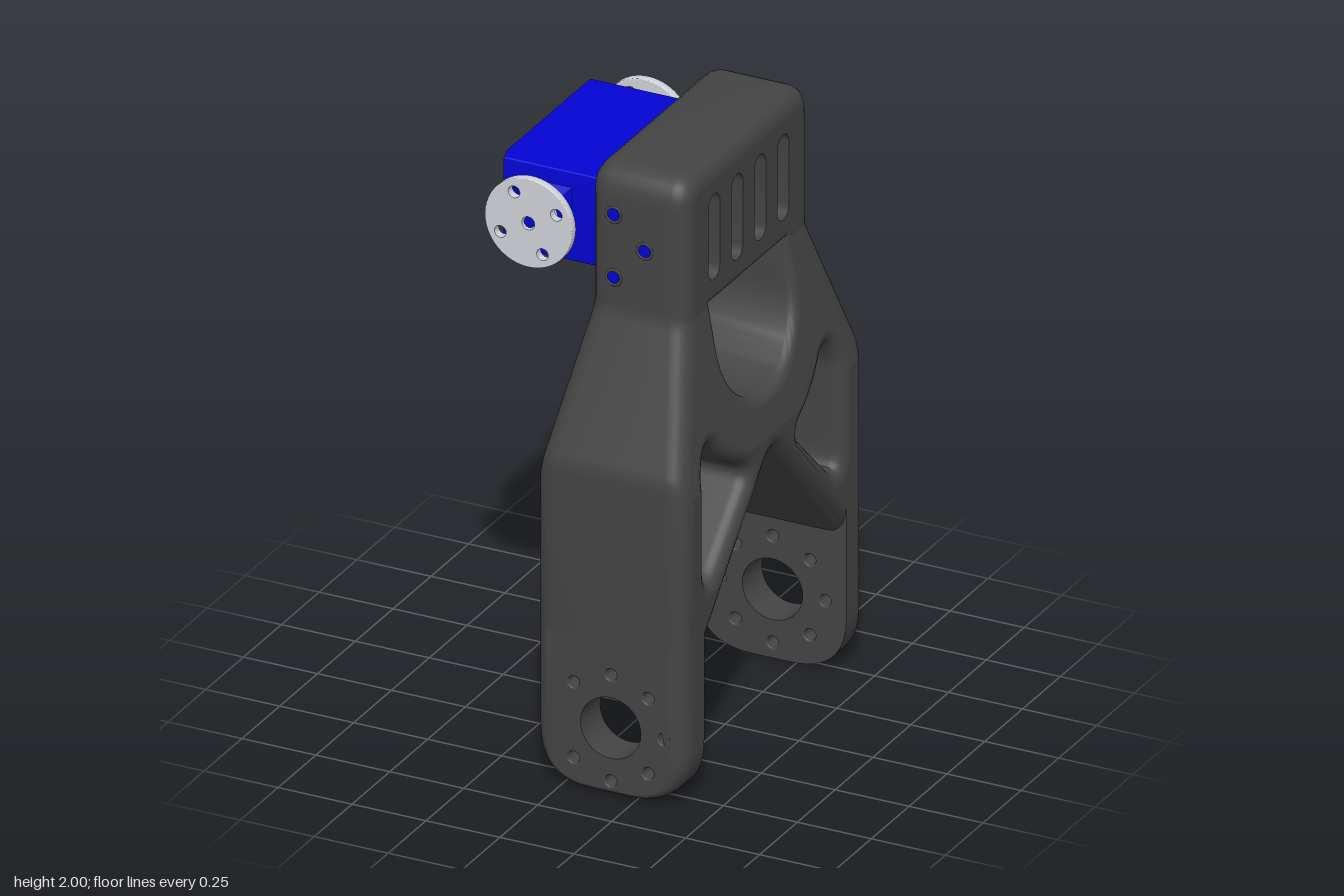
import * as THREE from 'three';
import { mergeGeometries, toCreasedNormals } from 'three/addons/utils/BufferGeometryUtils.js';

const dark = new THREE.MeshStandardMaterial({ color: 0x444444 });
const blue = new THREE.MeshStandardMaterial({ color: 0x0404d4 });
const pale = new THREE.MeshStandardMaterial({ color: 0xd0d2da });

// ---- 2D loops -------------------------------------------------------------
function arc(cx, cy, r, a0, a1, n, closed = false) {
  return Array.from({ length: closed ? n : n + 1 }, (_, i) => {
    const a = a0 + (a1 - a0) * i / n;
    return new THREE.Vector2(cx + r * Math.cos(a), cy + r * Math.sin(a));
  });
}
const circle = (x, y, r, n = 24) => arc(x, y, r, 0, Math.PI * 2, n, true);

// polygon of [x, y, cornerCut] with softened corners
function rounded(corners, steps = 8) {
  const out = [], N = corners.length;
  corners.forEach(([x, y, r], i) => {
    const p = new THREE.Vector2(x, y);
    if (!r) return out.push(p);
    const [a, b] = [corners[(i + N - 1) % N], corners[(i + 1) % N]].map(q =>
      new THREE.Vector2(q[0], q[1]).sub(p).setLength(r).add(p));
    out.push(...new THREE.QuadraticBezierCurve(a, p, b).getPoints(steps));
  });
  return out;
}

const orient = (pts, ccw) => (THREE.ShapeUtils.area(pts) > 0) === ccw ? pts : pts.slice().reverse();

// move a loop into the material on its left; a point's k scales its own move
function inset(pts, d) {
  const N = pts.length;
  const normal = (a, b) => new THREE.Vector2(a.y - b.y, b.x - a.x).normalize();
  return pts.map((p, i) => {
    const n1 = normal(pts[(i + N - 1) % N], p), n2 = normal(p, pts[(i + 1) % N]);
    return n1.clone().add(n2).multiplyScalar(d * (p.k ?? 1) / (1 + n1.dot(n2))).add(p);
  });
}

// ---- solids ---------------------------------------------------------------
// cut triangles along the plane y = c
function slice(tris, c) {
  const out = [];
  for (const t of tris) {
    const d = t.map(p => p.y - c);
    if (d.every(v => v >= -1e-6) || d.every(v => v <= 1e-6)) { out.push(t); continue; }
    for (const s of [1, -1]) {
      const poly = [];
      t.forEach((p, i) => {
        const j = (i + 1) % 3;
        if (d[i] * s >= 0) poly.push(p);
        if (d[i] * d[j] < 0) poly.push(p.clone().lerp(t[j], d[i] / (d[i] - d[j])));
      });
      for (let k = 1; k + 1 < poly.length; k++) out.push([poly[0], poly[k], poly[k + 1]]);
    }
  }
  return out;
}

function toGeometry(tris, levels, bend) {
  for (const c of levels) tris = slice(tris, c);
  const pts = tris.flat().map(p => p.clone());
  if (bend) pts.forEach(bend);
  const g = new THREE.BufferGeometry().setFromPoints(pts);
  g.computeVertexNormals();
  return g;
}

// extrude from w0 to w1 with rounded edges; each hole is { pts, b } with its own edge radius
function solid(outer, holes, w0, w1, b0, b1, levels = [], bend = null) {
  const walls = [], caps = [], ends = [[], []], steps = 6;
  const loops = [{ pts: orient(outer, true), b0, b1 },
    ...holes.map(h => ({ pts: orient(h.pts, false), b0: h.b, b1: h.b }))];
  for (const { pts, b0, b1 } of loops) {
    const edge = (b, w, dir) => Array.from({ length: b ? steps + 1 : 1 }, (_, k) => {
      const a = k / steps * Math.PI / 2;
      return inset(pts, b * (1 - Math.sin(a))).map(p =>
        new THREE.Vector3(p.x, p.y, w + dir * b * (1 - Math.cos(a))));
    });
    const rings = [...edge(b0, w0, 1), ...edge(b1, w1, -1).reverse()];
    for (let r = 0; r + 1 < rings.length; r++) for (let j = 0; j < pts.length; j++) {
      const k = (j + 1) % pts.length, A = rings[r], B = rings[r + 1];
      walls.push([A[j], A[k], B[k]], [A[j], B[k], B[j]]);
    }
    ends[0].push(rings[0]);
    ends[1].push(rings[rings.length - 1]);
  }
  ends.forEach((end, side) => {
    const all = end.flat();
    for (const f of THREE.ShapeUtils.triangulateShape(end[0].slice(), end.slice(1))) {
      const t = f.map(i => all[i]);
      caps.push((THREE.ShapeUtils.area(t) > 0) === (side === 1) ? t : t.reverse());
    }
  });
  return mergeGeometries([toCreasedNormals(toGeometry(walls, levels, bend), 0.5), toGeometry(caps, levels, bend)]);
}

function add(group, name, geo, mat, x = 0, y = 0, z = 0) {
  const m = new THREE.Mesh(geo, mat);
  m.name = name;
  m.position.set(x, y, z);
  group.add(m);
}
const rod = (r, len) => new THREE.CylinderGeometry(r, r, len, 32).rotateX(Math.PI / 2);

export function createModel() {
  const model = new THREE.Group();
  model.name = 'servoLegBracket';

  // forked frame: side profile extruded across the width, narrowing towards the head
  const half = [[0.415, 2, 0.1], [0.415, 1.53, 0.03], [0.6, 1.08, 0.03], [0.6, 0.45, 0], [0.47, 0.47, 0]];
  const mirror = list => list.map(([u, v, r]) => [-u, v, r]).reverse();
  const profile = rounded([...half, [0, 0.97, 0.07], ...mirror(half)]);
  const windowCorners = [[0.45, 0.655, 0.11], [0.45, 1.05, 0.04], [0.395, 1.155, 0.07], [0.3, 1.05, 0.06], [0.145, 0.95, 0.06]];
  const cutouts = [
    { pts: rounded(windowCorners), b: 0.05 },
    { pts: rounded(mirror(windowCorners)), b: 0.05 },
    { pts: [new THREE.Vector2(-0.245, 1.53), ...arc(0, 1.39, 0.245, Math.PI, Math.PI * 2, 28), new THREE.Vector2(0.245, 1.53)], b: 0.03 },
  ];
  for (let i = 0; i < 4; i++) { // vent slots
    const u = (i - 1.5) * 0.152;
    cutouts.push({ pts: [...arc(u, 1.855, 0.038, 0, Math.PI, 10), ...arc(u, 1.645, 0.038, Math.PI, Math.PI * 2, 10)], b: 0 });
  }
  const narrow = p => {
    const s = 0.09 * THREE.MathUtils.clamp((p.y - 1.02) / 0.51, 0, 1);
    p.z += p.z < 0.165 ? s : -s;
  };
  add(model, 'frame', solid(profile, cutouts, -0.09, 0.42, 0.06, 0.06, [1.02, 1.53], narrow).rotateY(Math.PI / 2), dark);

  // leg ends with bearing hole and bolt circle; the edge rounding tightens at the toe
  const foot = rounded([[-0.09, 0, 0.19], [0.42, 0, 0.19], [0.42, 0.57, 0], [-0.09, 0.57, 0]], 12);
  foot.forEach(p => { p.k = THREE.MathUtils.mapLinear(Math.min(p.y, 0.2), 0, 0.2, 0.375, 1); });
  const footHoles = [{ pts: circle(0.17, 0.23, 0.102, 40), b: 0 }];
  for (let i = 0; i < 8; i++) {
    const a = i * Math.PI / 4;
    footHoles.push({ pts: circle(0.17 + 0.178 * Math.cos(a), 0.23 + 0.178 * Math.sin(a), 0.019, 16), b: 0.006 });
  }
  add(model, 'frontLegEnd', solid(foot, footHoles, 0.47, 0.6, 0, 0.06), dark);
  add(model, 'backLegEnd', solid(foot, footHoles, -0.6, -0.47, 0.06, 0), dark);

  // screw holes on both ends of the head
  for (const s of [1, -1]) for (const [x, y] of [[0.085, 1.85], [0.19, 1.75], [0.085, 1.64]]) {
    add(model, 'screwHoleRim', new THREE.TorusGeometry(0.025, 0.006, 8, 24), dark, x, y, s * 0.411);
    add(model, 'screw', rod(0.02, 0.006), blue, x, y, s * 0.413);
  }

  // servo
  const servo = new THREE.Group();
  servo.name = 'servo';
  model.add(servo);
  const ax = -0.212, ay = 1.748;
  const body = rounded([[-0.36, -0.3, 0.008], [0.25, -0.3, 0], [0.25, 0.3, 0], [-0.345, 0.3, 0], [-0.36, 0.25, 0]], 3);
  add(servo, 'servoBody', solid(body, [], -0.149, 0.149, 0.006, 0.006).rotateX(Math.PI / 2), blue, 0, 1.75, 0);
  add(servo, 'cablePlug', new THREE.BoxGeometry(0.08, 0.085, 0.042), blue, -0.39, 1.747, -0.195);
  for (const s of [1, -1]) {
    // tapered boss around the shaft
    const boss = new THREE.CylinderGeometry(0.075 * Math.SQRT2, 0.1 * Math.SQRT2, 0.025, 4, 1).toNonIndexed();
    boss.computeVertexNormals();
    boss.rotateY(Math.PI / 4).rotateX(s * Math.PI / 2);
    add(servo, 'shaftBoss', boss, blue, ax, ay, s * 0.311);
    add(servo, 'shaft', rod(0.045, 0.05), blue, ax, ay, s * 0.34);
    // drilled disc
    const holes = [{ pts: circle(0, 0, s > 0 ? 0.022 : 0.045), b: 0 }];
    for (let i = 0; i < 4; i++) {
      const a = 0.47 + i * Math.PI / 2;
      holes.push({ pts: circle(0.106 * Math.cos(a), 0.106 * Math.sin(a), 0.02, 16), b: 0 });
    }
    add(servo, 'horn', solid(circle(0, 0, 0.148, 48), holes, -0.014, 0.014, 0.003, 0.003), pale, ax, ay, s * 0.384);
    const hub = s > 0 ? 0.04 : 0.015;
    add(servo, 'hornHub', rod(0.066, hub), pale, ax, ay, s * (0.37 - hub / 2));
    add(servo, 'hornScrew', rod(s > 0 ? 0.018 : 0.04, 0.03), blue, ax, ay, s * (s > 0 ? 0.375 : 0.384));
  }
  return model;
}
